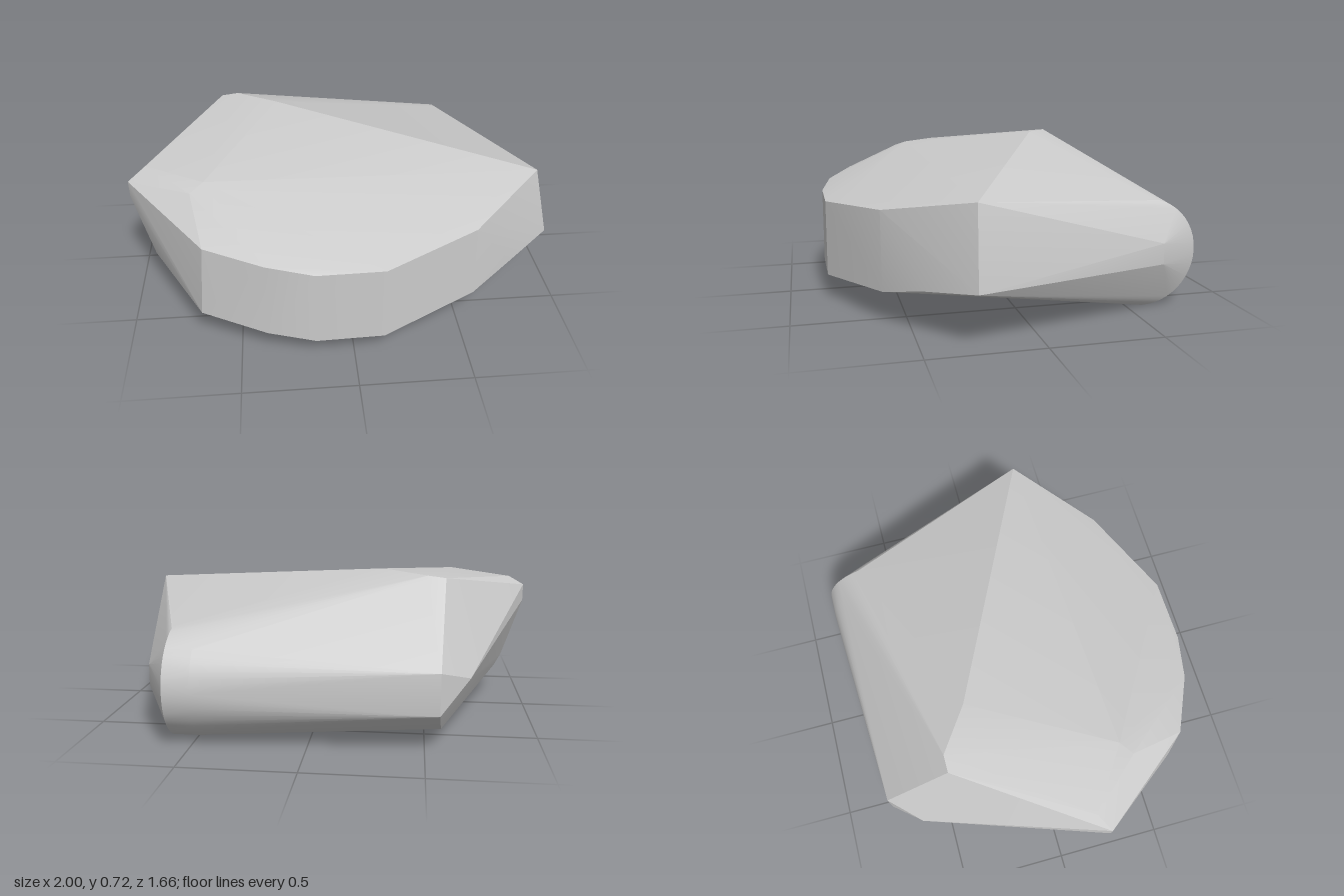
import * as THREE from 'three';
import { ConvexGeometry } from 'three/addons/geometries/ConvexGeometry.js';
import { toCreasedNormals } from 'three/addons/utils/BufferGeometryUtils.js';

export function createModel() {
  const group = new THREE.Group();
  group.name = 'facetedStone';

  // front wall: upper and lower rim
  const upperRim = [
    [-0.64, 0.51, 0.66], [-0.38, 0.49, 0.78], [-0.17, 0.465, 0.825],
    [0.13, 0.465, 0.82], [0.56, 0.5, 0.61], [0.92, 0.585, 0.27],
  ];
  const lowerRim = [
    [-0.67, 0.16, 0.66], [-0.38, 0.13, 0.785], [-0.17, 0.107, 0.828], [0.13, 0.11, 0.823],
    [0.57, 0.145, 0.61], [0.78, 0.2, 0.46], [1, 0.24, 0.285],
  ];

  // crown ridge
  const crown = [
    [-0.3, 0.72, -0.3], [-0.5, 0.71, -0.44], [-0.58, 0.7, -0.44],
    [-0.64, 0.645, 0.34], [-0.7, 0.62, 0.39], [-0.92, 0.63, 0.15],
  ];

  // narrow tip, blunt back corner and the facet at the rounded end
  const corners = [
    [-1, 0.58, 0.2], [-1, 0.5, 0.2], [-0.91, 0.2, 0.25], [-0.87, 0.155, 0.18],
    [-0.56, 0.354, -0.76], [-0.56, 0.17, -0.76], [-0.69, 0.3, -0.62], [-0.57, 0.07, -0.62],
    [0.72, 0.32, -0.62], [0.72, 0.225, -0.62],
  ];

  // rounded back edge: a half circle at its thick end
  const arc = [];
  const steps = 24;
  for (let i = 0; i <= steps; i++) {
    const a = -Math.PI / 2 + (Math.PI * i) / steps;
    const y = 0.25 + 0.25 * Math.sin(a);
    const z = -0.58 - 0.25 * Math.cos(a);
    arc.push([0.48, y, z], [0.6, y, z]);
  }

  const points = [...upperRim, ...lowerRim, ...crown, ...corners, ...arc]
    .map((p) => new THREE.Vector3(...p));
  const geometry = toCreasedNormals(new ConvexGeometry(points), 0.25);
  const stone = new THREE.Mesh(geometry, new THREE.MeshStandardMaterial({ color: 0xcccccc }));
  stone.name = 'stone';
  group.add(stone);
  return group;
}
